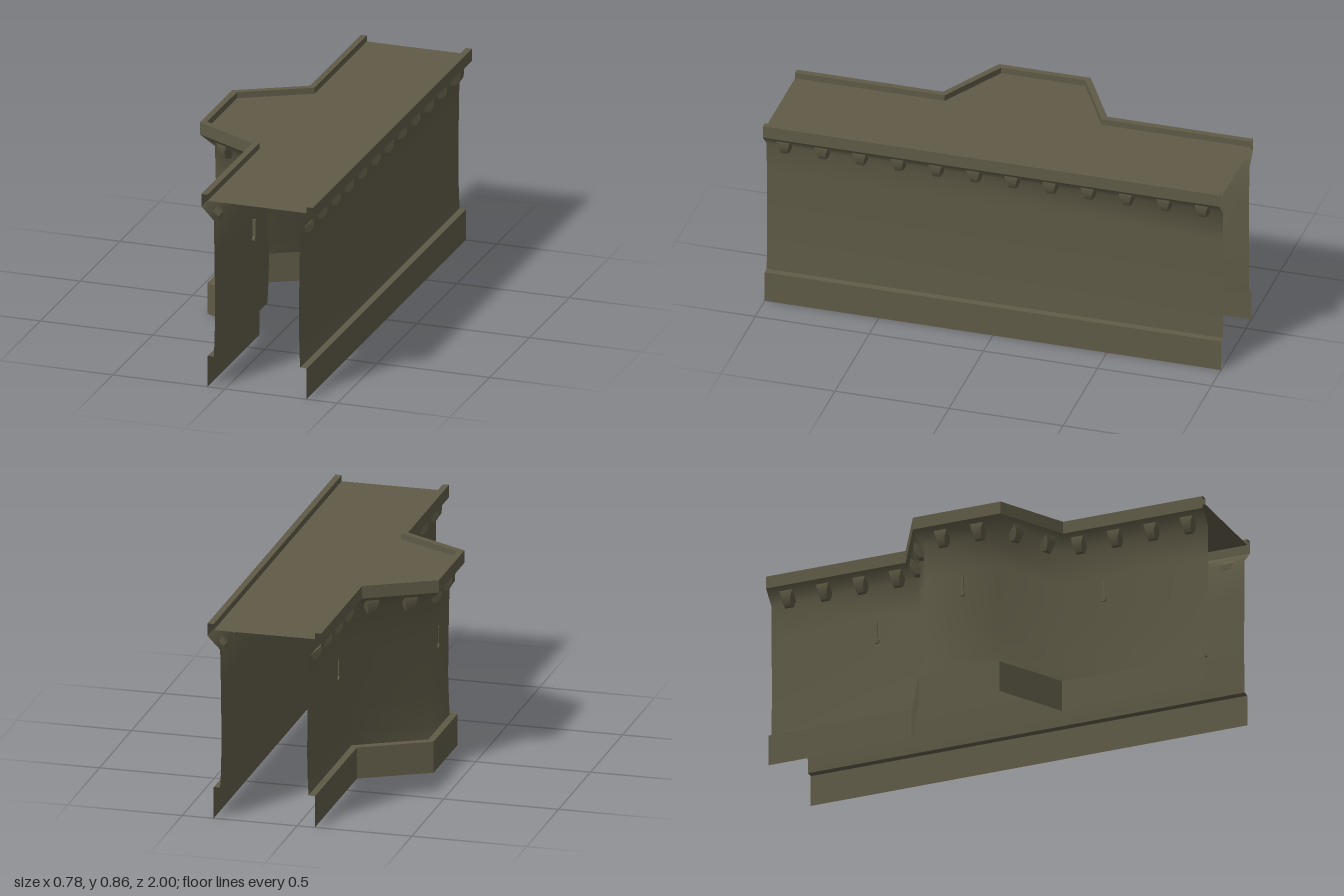
import * as THREE from 'three';
import { toCreasedNormals } from 'three/addons/utils/BufferGeometryUtils.js';
import { ConvexGeometry } from 'three/addons/geometries/ConvexGeometry.js';

const SLOPE = 0.59; // mitre shift in z per unit of outward offset

// Wall paths: x, z, outward x direction, mitre shift
const LEFT_PATH = [
  [-0.05, 1, -1, 0], [-0.05, 0.328, -1, SLOPE], [-0.34, 0.168, -1, SLOPE],
  [-0.34, -0.168, -1, -SLOPE], [-0.05, -0.328, -1, -SLOPE], [-0.05, -1, -1, 0],
];
const RIGHT_PATH = [[0.335, -1, 1, 0], [0.335, 1, 1, 0]];

// Profiles: outward offset, height
const RIM = [[0.028, 0.835], [0.028, 0.862], [0.055, 0.862], [0.055, 0.807]];
const WALL = [[0.055, 0.807], [0, 0.75], [-0.003, 0.6], [-0.005, 0.45],
  [-0.006, 0.32], [-0.003, 0.2], [0, 0.14]];
const BASE = [[0, 0.14], [0.028, 0.138], [0.028, 0]];

const place = ([x, z, s, m], o) => [x + s * o, z + m * o];

// Sweep a profile along a path with mitred corners
function sweep(path, profile) {
  const pos = [], index = [], n = profile.length;
  path.forEach((p, i) => profile.forEach(([o, y], j) => {
    const [x, z] = place(p, o);
    pos.push(x, y, z);
    if (i < path.length - 1 && j < n - 1) {
      const a = i * n + j, b = a + n;
      index.push(a, b, a + 1, b, b + 1, a + 1);
    }
  }));
  const g = new THREE.BufferGeometry();
  g.setAttribute('position', new THREE.Float32BufferAttribute(pos, 3));
  g.setIndex(index);
  g.computeVertexNormals();
  return g;
}

export function createModel() {
  const model = new THREE.Group();
  model.name = 'fortressWallSection';
  const stone = new THREE.MeshStandardMaterial({ color: 0x5f5b47, side: THREE.DoubleSide });
  stone.name = 'olive stone';

  const add = (name, geometry, parent = model) => {
    const mesh = new THREE.Mesh(geometry, stone);
    mesh.name = name;
    parent.add(mesh);
    return mesh;
  };

  // Curtain walls with cornice and plinth
  for (const [side, path] of [['bastion', LEFT_PATH], ['plain', RIGHT_PATH]]) {
    add(side + 'Rim', toCreasedNormals(sweep(path, RIM), 0.6));
    add(side + 'Wall', sweep(path, WALL));
    add(side + 'Plinth', toCreasedNormals(sweep(path, BASE), 0.6));
  }

  // Walkway between the rims
  const outline = [...LEFT_PATH, ...RIGHT_PATH].map((p) => {
    const [x, z] = place(p, 0.028);
    return new THREE.Vector2(x, -z);
  });
  const floor = new THREE.ShapeGeometry(new THREE.Shape(outline));
  floor.rotateX(-Math.PI / 2);
  floor.translate(0, 0.835, 0);
  add('walkway', floor);

  // Corbels under the cornice
  const points = [];
  for (const [o, y, w] of [[0.04, 0.79, 0.029], [0.04, 0.757, 0.02], [0.02, 0.725, 0.014],
    [-0.002, 0.725, 0.02], [-0.002, 0.75, 0.03], [0.02, 0.77, 0.032]]) {
    points.push(new THREE.Vector3(o, y, w), new THREE.Vector3(o, y, -w));
  }
  const corbelShape = toCreasedNormals(new ConvexGeometry(points), 0.7);
  const corbels = new THREE.Group();
  corbels.name = 'corbels';
  model.add(corbels);
  const corbel = (x, z, nx, nz) => {
    const c = add('corbel', corbelShape, corbels);
    c.position.set(x, 0, z);
    c.rotation.y = Math.atan2(-nz, nx);
  };
  for (const s of [1, -1]) {
    for (let i = 0; i < 6; i++) {
      const z = s * (i + 0.5) / 6;
      corbel(0.335, z, 1, 0);
      if (i > 1) corbel(-0.05, z, -1, 0);
    }
    corbel(-0.34, s * 0.083, -1, 0);
    for (const x of [-0.267, -0.122]) {
      corbel(x, s * (0.168 + (x + 0.34) * 0.16 / 0.29), -0.483, s * 0.876);
    }
  }

  // Keyhole arrow slits on the bastion side
  for (const [x, z] of [[-0.05, 0.52], [-0.34, 0], [-0.05, -0.52]]) {
    const slit = new THREE.Group();
    slit.name = 'arrowSlit';
    slit.position.set(x, 0, z);
    model.add(slit);
    add('slot', new THREE.BoxGeometry(0.018, 0.09, 0.01), slit).position.set(0.009, 0.54, 0);
    const foot = add('foot', new THREE.CylinderGeometry(0.013, 0.013, 0.02, 12), slit);
    foot.rotation.z = Math.PI / 2;
    foot.position.set(0.007, 0.498, 0);
  }
  return model;
}
